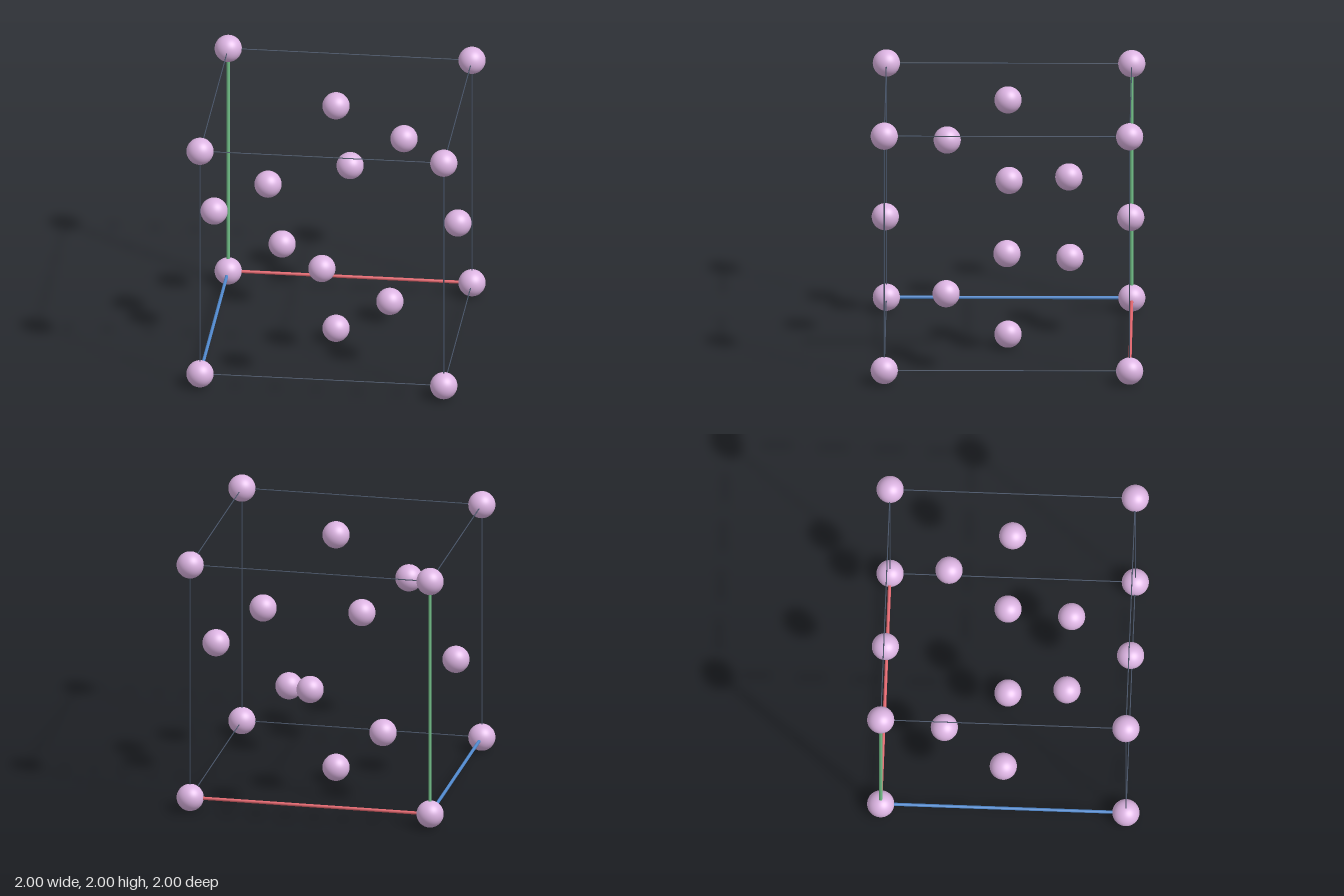
import * as THREE from 'three';

const H = 0.9;        // half the cell edge
const ATOM_R = 0.1;
const AXIS_R = 0.012;
const EDGE_R = 0.004;

export function createModel() {
  const mat = (name, color) => {
    const m = new THREE.MeshStandardMaterial({ color });
    m.name = name;
    return m;
  };
  const lilac = mat('lilac', 0xdcb4e2);
  const slate = mat('slate', 0x485468);
  const axisMats = [mat('red', 0xe0656d), mat('green', 0x72c088), mat('blue', 0x5088cc)];

  const model = new THREE.Group();
  model.name = 'crystalCell';
  const cell = new THREE.Group();
  cell.name = 'cell';
  cell.position.y = H + ATOM_R;
  model.add(cell);

  const group = (name) => {
    const g = new THREE.Group();
    g.name = name;
    cell.add(g);
    return g;
  };

  // Atoms, placed in units of the half edge
  const sphere = new THREE.SphereGeometry(ATOM_R, 40, 28);
  const addAtom = (parent, name, x, y, z) => {
    const m = new THREE.Mesh(sphere, lilac);
    m.name = name;
    m.position.set(x, y, z).multiplyScalar(H);
    parent.add(m);
  };

  const corners = group('cornerAtoms');
  const inner = group('innerAtoms');
  for (const x of [-1, 1]) for (const y of [-1, 1]) for (const z of [-1, 1]) {
    addAtom(corners, 'cornerAtom', x, y, z);
    // alternate octants hold an inner atom
    if (x * y * z < 0) addAtom(inner, 'innerAtom', x / 2, y / 2, z / 2);
  }

  const faces = group('faceAtoms');
  for (let axis = 0; axis < 3; axis++) for (const s of [-1, 1]) {
    const p = [0, 0, 0];
    p[axis] = s;
    addAtom(faces, 'faceAtom', ...p);
  }

  // Cell edges; the three meeting at the origin corner are coloured axes
  const thin = new THREE.CylinderGeometry(EDGE_R, EDGE_R, 2 * H, 8);
  const thick = new THREE.CylinderGeometry(AXIS_R, AXIS_R, 2 * H, 16);
  const axisNames = ['xAxis', 'yAxis', 'zAxis'];
  const edges = group('cellEdges');
  const up = new THREE.Vector3(0, 1, 0);
  for (let axis = 0; axis < 3; axis++) for (const a of [-1, 1]) for (const b of [-1, 1]) {
    const isAxis = a < 0 && b < 0;
    const m = new THREE.Mesh(isAxis ? thick : thin, isAxis ? axisMats[axis] : slate);
    m.name = isAxis ? axisNames[axis] : 'cellEdge';
    const p = [0, 0, 0];
    p[(axis + 1) % 3] = a * H;
    p[(axis + 2) % 3] = b * H;
    m.position.set(...p);
    const dir = new THREE.Vector3().setComponent(axis, 1);
    m.quaternion.setFromUnitVectors(up, dir);
    edges.add(m);
  }

  return model;
}
